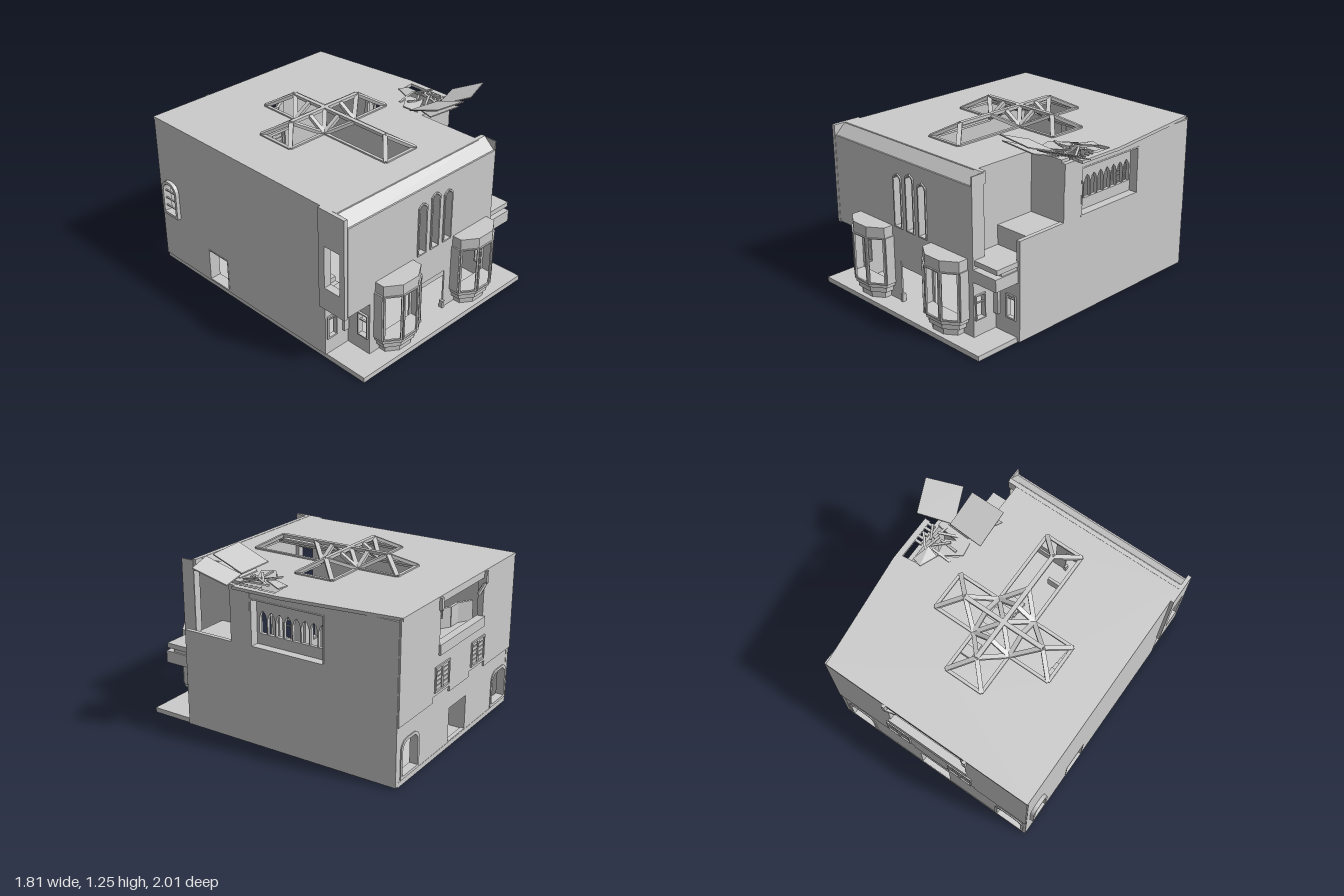
import * as THREE from 'three';
import { ConvexGeometry } from 'three/addons/geometries/ConvexGeometry.js';

const mat = new THREE.MeshStandardMaterial({ color: 0xcccccc, flatShading: true, side: THREE.DoubleSide });
const rect = (x0, x1, y0, y1) => [[x0, y0], [x1, y0], [x1, y1], [x0, y1]];
const pointed = (x0, x1, y0, y1, r, bulge) => // opening with a pointed head
  [[x0, y0], [x1, y0], [x1, y1 - r], [x1 - (x1 - x0) * 0.2, y1 - r * bulge], [(x0 + x1) / 2, y1], [x0 + (x1 - x0) * 0.2, y1 - r * bulge], [x0, y1 - r]];
function rounded(x0, x1, y0, y1, r) { // opening with rounded upper corners
  const p = [[x0, y0], [x1, y0]];
  for (let i = 0; i <= 5; i++) { const a = i * Math.PI / 10; p.push([x1 - r + r * Math.cos(a), y1 - r + r * Math.sin(a)]); }
  for (let i = 5; i <= 10; i++) { const a = i * Math.PI / 10; p.push([x0 + r + r * Math.cos(a), y1 - r + r * Math.sin(a)]); }
  return p;
}
const inset = (p, d) => { // shrink an outline towards its middle
  const xs = p.map(q => q[0]), ys = p.map(q => q[1]);
  const x0 = Math.min(...xs), x1 = Math.max(...xs), y0 = Math.min(...ys), y1 = Math.max(...ys);
  return p.map(([x, y]) => [x0 + d + (x - x0) * (x1 - x0 - 2 * d) / (x1 - x0), y0 + d + (y - y0) * (y1 - y0 - 2 * d) / (y1 - y0)]);
};

export function createModel() {
  const model = new THREE.Group();
  model.name = 'building';
  const add = (name, geo, parent = model) => {
    const m = new THREE.Mesh(geo, mat);
    m.name = name;
    parent.add(m);
    return m;
  };
  const box = (name, x0, x1, y0, y1, z0, z1) => {
    const m = add(name, new THREE.BoxGeometry(x1 - x0, y1 - y0, z1 - z0));
    m.position.set((x0 + x1) / 2, (y0 + y1) / 2, (z0 + z1) / 2);
  };
  const plate = (pts, holes, depth) => {
    const s = new THREE.Shape(pts.map(p => new THREE.Vector2(...p)));
    holes.forEach(h => s.holes.push(new THREE.Path(h.map(p => new THREE.Vector2(...p)))));
    return new THREE.ExtrudeGeometry(s, { depth, bevelEnabled: false });
  };
  // Plates drawn in x,y (front), in -z,y (side) and in x,z (flat)
  const front = (name, pts, holes, z, d) => { add(name, plate(pts, holes, d)).position.z = z; };
  const side = (name, pts, holes, x, d) => { const m = add(name, plate(pts, holes, d)); m.rotation.y = Math.PI / 2; m.position.x = x; };
  const flat = (name, pts, holes, top, d, parent) => { const m = add(name, plate(pts, holes, d), parent); m.rotation.x = Math.PI / 2; m.position.y = top; };
  const beam = (name, a, b, w, parent, h) => {
    const A = new THREE.Vector3(...a), B = new THREE.Vector3(...b);
    const m = add(name, new THREE.BoxGeometry(w, h, A.distanceTo(B)), parent);
    m.position.copy(A).lerp(B, 0.5);
    m.lookAt(B);
  };
  const slab = (name, quad, t) => add(name, new ConvexGeometry(quad.flatMap(([x, y, z]) =>
    [new THREE.Vector3(x, y, z), new THREE.Vector3(x, y - t, z)])));

  box('baseSlab', -0.87, 0.67, 0, 0.035, -0.97, 1);

  // Front wall with door, bay openings and lancet windows
  const lancets = [[-0.26, -0.18, 0.95], [-0.14, -0.06, 0.978], [-0.02, 0.06, 0.95]].map(([a, b, t]) => pointed(a, b, 0.57, t, 0.028, 0.45));
  const bays = [-0.465, 0.26];
  front('frontWall', [[-0.68, 0.035], [-0.22, 0.035], [-0.22, 0.33], [0.02, 0.33], [0.02, 0.035], [0.48, 0.035], [0.48, 1.05], [-0.87, 1.05], [-0.87, 0.42], [-0.68, 0.42]],
    [...lancets, ...bays.map(c => rect(c - 0.15, c + 0.15, 0.1, 0.5))], 0.848, 0.012);
  lancets.forEach(l => front('lancetFrame', l, [inset(l, 0.01)], 0.81, 0.06));
  box('doorLintel', -0.22, 0.02, 0.29, 0.33, 0.84, 0.855);
  box('innerLintel', -0.22, 0.02, 0.24, 0.33, 0.6, 0.62);
  for (const x of [-0.225, 0.005]) box('doorPlinth', x, x + 0.02, 0.035, 0.09, 0.84, 0.87);
  side('slopedCornice', [[-0.86, 1.04], [-0.77, 1.122], [-0.74, 1.122], [-0.74, 1.04]], [], -0.875, 1.35);

  // Bay windows
  for (const c of bays) {
    const bay = new THREE.Group();
    bay.name = 'bayWindow';
    model.add(bay);
    const plan = k => [[-0.17, 0.86], [-0.17, 0.93], [-0.068, 1], [0.068, 1], [0.17, 0.93], [0.17, 0.86]]
      .map(([x, z]) => [c + x * k, 0.86 + (z - 0.86) * k]);
    const tier = (name, k, y0, y1) => flat(name, plan(k), [], y1, y1 - y0, bay);
    tier('bayHood', 1, 0.49, 0.565);
    tier('baySill', 1, 0.125, 0.15);
    tier('bayCorbel', 0.9, 0.085, 0.125);
    tier('bayFoot', 0.75, 0.035, 0.085);
    const p = plan(0.985);
    for (let i = 0; i < 5; i++) { // solid cheeks, glazed-out front faces
      const [x0, z0] = p[i], [x1, z1] = p[i + 1], L = Math.hypot(x1 - x0, z1 - z0);
      const pane = i % 4 ? [rect(0.012, L - 0.012, 0.16, 0.482)] : [];
      const m = add('bayFrame', plate(rect(0, L, 0.15, 0.49), pane, 0.012), bay);
      m.position.set(x0, 0, z0);
      m.rotation.y = -Math.atan2(z1 - z0, x1 - x0);
    }
  }
  // Stairs behind the bays
  for (const x of [-0.52, 0.1]) for (let i = 0; i < 11; i++)
    box('stairStep', x, x + 0.14, 0.035 + i * 0.036, 0.071 + i * 0.036, 0.35 - i * 0.06, 0.43 - i * 0.06);

  // Recessed front corners with small windows
  const cornerWindow = (x0, x1) => {
    const o = rect(x0, x1, 0.15, 0.32);
    front('smallWindowFrame', o, [inset(o, 0.012)], 0.65, 0.03);
    box('smallWindowBar', x0, x1, 0.285, 0.293, 0.655, 0.67);
  };
  front('leftCornerWall', rect(-0.87, -0.68, 0.035, 0.42), [rect(-0.865, -0.78, 0.15, 0.32)], 0.64, 0.03);
  front('rightCornerWall', rect(0.48, 0.67, 0.035, 0.45), [rect(0.58, 0.665, 0.15, 0.32)], 0.64, 0.03);
  cornerWindow(-0.865, -0.78);
  cornerWindow(0.58, 0.665);
  const sideOpen = rect(-0.85, -0.765, 0.15, 0.325);
  for (const x of [-0.68, 0.468]) {
    side('cornerReturnWall', rect(-0.855, -0.64, 0.035, 0.45), [inset(sideOpen, 0.002)], x, 0.012);
    side('returnWindowFrame', sideOpen, [inset(sideOpen, 0.008)], x - 0.015, 0.04);
    box('returnWindowBar', x, x + 0.012, 0.26, 0.268, 0.765, 0.85);
  }
  for (const x of [-0.73, 0.48]) box('cornerPilaster', x, x + 0.04, 0.15, 0.32, 0.67, 0.69);
  box('leftSoffit', -0.87, -0.68, 0.42, 0.5, 0.64, 0.848);

  // Stepped terraces on the right front corner
  box('lowTerrace', 0.48, 0.68, 0.42, 0.505, 0.66, 0.86);
  box('terraceCore', 0.48, 0.67, 0.5, 0.54, 0.56, 0.8);
  box('terraceLedge', 0.4, 0.68, 0.53, 0.565, 0.58, 0.848);
  box('highTerrace', 0.4, 0.67, 0.67, 0.7, 0.28, 0.58);
  front('terraceRiser', rect(0.4, 0.67, 0.53, 0.7), [], 0.55, 0.03);
  front('towerFrontWall', rect(0.4, 0.695, 0.7, 1.1), [], 0.25, 0.03);
  side('terraceSideWall', rect(-0.77, -0.25, 0.45, 1.1), [], 0.39, 0.02);
  side('frontReturn', rect(-0.86, -0.76, 0.42, 1.115), [], 0.472, 0.008);

  // Right wall with a recessed arcade
  const arcadeEdge = rect(-0.12, 0.445, 0.7, 1.035);
  side('rightWall', [[-0.67, 0.01], [0.97, 0.01], [0.97, 1.1], [-0.28, 1.1], [-0.28, 0.705], [-0.67, 0.705]], [inset(arcadeEdge, 0.006)], 0.665, 0.03);
  const arches = [];
  for (let i = 0; i < 8; i++) { const u = -0.09 + i * 0.065; arches.push(pointed(u, u + 0.057, 0.785, 0.94, 0.05, 0.35)); }
  side('arcade', rect(-0.12, 0.45, 0.7, 1.05), arches, 0.61, 0.025);
  side('arcadeSurround', arcadeEdge, [inset(arcadeEdge, 0.01)], 0.62, 0.077);
  side('upperWallBand', rect(-0.28, -0.12, 0.95, 1.1), [], 0.69, 0.01);

  // Left wall with arched window, doorway and overhanging corner
  const leftArch = rounded(0.77, 0.93, 0.4, 0.67, 0.07), leftDoor = rect(0.27, 0.48, 0.04, 0.29), leftWin = rect(-0.82, -0.69, 0.57, 0.87);
  side('leftWall', [[-0.67, 0.035], [0.97, 0.035], [0.97, 1.11], [-0.78, 1.11], [-0.855, 1.04], [-0.855, 0.42], [-0.67, 0.42]], [leftArch, leftDoor, leftWin], -0.878, 0.033);
  side('leftCornerOverlay', rect(-0.86, -0.64, 0.41, 1.12), [leftWin], -0.9, 0.027);
  side('leftArchFrame', leftArch, [inset(leftArch, 0.02)], -0.905, 0.06);
  side('leftDoorFrame', leftDoor, [inset(leftDoor, 0.01)], -0.88, 0.08);
  for (let i = 0; i < 3; i++) box('leftArchBar', -0.89, -0.88, 0.46 + i * 0.06, 0.468 + i * 0.06, -0.92, -0.78);

  // Back wall with balcony, shuttered windows and arched doors
  const balcony = rect(-0.4, 0.2, 0.8, 1.07);
  const shutters = [rect(0.06, 0.25, 0.485, 0.66), rect(-0.44, -0.25, 0.485, 0.66)];
  const backArches = [rounded(0.41, 0.64, 0.04, 0.31, 0.07), rounded(-0.855, -0.62, 0.04, 0.31, 0.07)];
  front('backWall', rect(-0.87, 0.69, 0.035, 1.1), [balcony, ...shutters, ...backArches, rect(-0.23, 0.01, 0.04, 0.285)], -0.968, 0.03);
  front('backUpperWall', [[-0.875, 0.42], [-0.46, 0.42], [-0.46, 0.46], [-0.23, 0.46], [-0.23, 0.42], [0.04, 0.42], [0.04, 0.46], [0.27, 0.46], [0.27, 0.42], [0.69, 0.42], [0.69, 1.11], [-0.875, 1.11]],
    [balcony, ...shutters], -0.98, 0.013);
  backArches.forEach(a => front('backArchFrame', a, [inset(a, 0.02)], -0.975, 0.06));
  for (const x of [-0.24, 0.01]) box('backDoorJamb', x, x + 0.01, 0.035, 0.285, -0.94, -0.82);
  for (const s of shutters) {
    front('shutterFrame', s, [inset(s, 0.012)], -0.99, 0.04);
    const x = s[0][0];
    box('shutterPost', x + 0.085, x + 0.105, 0.485, 0.66, -0.988, -0.96);
    for (let i = 0; i < 5; i++) box('shutterSlat', x, x + 0.19, 0.5 + i * 0.031, 0.524 + i * 0.031, -0.982, -0.965);
  }
  box('balconyLip', -0.41, 0.21, 0.73, 0.8, -0.995, -0.95);
  box('balconyFloor', -0.4, 0.2, 0.74, 0.76, -0.95, -0.75);
  const rail = [[-0.4, -0.9], [-0.3, -0.84], [-0.2, -0.84], [-0.1, -0.78], [0, -0.84], [0.1, -0.84], [0.2, -0.9]];
  for (let i = 0; i < 6; i++) beam('balconyRail', [rail[i][0], 0.83, rail[i][1]], [rail[i + 1][0], 0.83, rail[i + 1][1]], 0.02, model, 0.14);
  for (const x of [-0.42, 0.2]) {
    box('balconyBracket', x, x + 0.025, 1.03, 1.115, -1, -0.95);
    beam('balconyStrut', [x + 0.012, 1.04, -0.99], [x + (x < 0 ? 0.06 : -0.04), 0.96, -0.96], 0.018, model, 0.018);
  }

  // Roof with cross-shaped opening and broken edge
  const X0 = -0.54, X1 = 0.34, x0 = -0.24, x1 = 0.035, Z0 = -0.57, Z1 = 0.56, z0 = -0.27, z1 = 0.01, cx = -0.1, cz = -0.13;
  const cross = [[x0, Z0], [x1, Z0], [x1, z0], [X1, z0], [X1, z1], [x1, z1], [x1, Z1], [x0, Z1], [x0, z1], [X0, z1], [X0, z0], [x0, z0]];
  flat('roof', [[-0.878, -0.982], [0.675, -0.982], [0.77, -0.15], [0.77, -0.11], [0.6, -0.09], [0.54, 0.03], [0.42, 0.1], [0.45, 0.18], [0.67, 0.21], [0.67, 0.28], [0.41, 0.28], [0.41, 0.775], [-0.878, 0.775]], [cross], 1.12, 0.022);
  box('brokenEave', 0.73, 0.77, 1.1, 1.12, -0.12, 0.2);
  for (let i = 0; i < 5; i++) box('eaveStub', 0.68, 0.74, 1.1, 1.118, 0.03 + i * 0.036, 0.048 + i * 0.036);

  // Hipped truss skylight over the cross
  const truss = new THREE.Group();
  truss.name = 'skylightTruss';
  model.add(truss);
  const lo = 1.122, hi = 1.208, bar = (a, b, ya, yb) => beam('trussBar', [a[0], ya, a[1]], [b[0], yb, b[1]], 0.03, truss, 0.022);
  cross.forEach((p, i) => beam('trussKerb', [p[0], lo, p[1]], [cross[(i + 1) % 12][0], lo, cross[(i + 1) % 12][1]], 0.022, truss, 0.016));
  bar([-0.4, cz], [0.2, cz], hi, hi);
  bar([cx, -0.42], [cx, 0.42], hi, hi);
  for (const x of [x0, x1]) for (const z of [z0, z1]) {
    bar([cx, cz], [x, z], hi, lo);
    bar([x < cx ? -0.4 : 0.2, cz], [x, z], hi, lo);
    bar([x < cx ? -0.4 : 0.2, cz], [x < cx ? X0 : X1, z], hi, lo);
    bar([cx, z < cz ? -0.42 : 0.15], [x, z], hi, lo);
    bar([cx, z < cz ? -0.42 : 0.42], [x, z < cz ? Z0 : Z1], hi, lo);
    bar([x, cz], [x, z], hi, lo);
    bar([cx, z], [x, z], hi, lo);
  }

  // Torn roof panels, shards and planks
  slab('tornPanel', [[0.33, 1.255, 0.48], [0.59, 1.235, 0.49], [0.6, 1.15, 0.25], [0.34, 1.165, 0.23]], 0.008);
  slab('lowerTornPanel', [[0.31, 1.2, 0.44], [0.59, 1.185, 0.45], [0.62, 1.125, 0.25], [0.45, 1.13, 0.24]], 0.008);
  slab('tornPanel', [[0.66, 1.24, 0.49], [0.905, 1.24, 0.4], [0.83, 1.145, 0.19], [0.58, 1.135, 0.27]], 0.008);
  slab('roofShard', [[0.4, 1.135, 0.12], [0.54, 1.14, 0.02], [0.57, 1.13, 0.15], [0.42, 1.125, 0.23]], 0.008);
  slab('roofShard', [[0.59, 1.13, -0.1], [0.66, 1.125, -0.08], [0.62, 1.15, 0.04], [0.54, 1.13, 0.02]], 0.008);
  for (let i = 0; i < 8; i++) {
    const a = i * 2.4, x = 0.52 + (i % 4) * 0.05, z = 0.04 + (i * 0.37 % 1) * 0.17;
    beam('brokenPlank', [x - 0.07 * Math.cos(a), 1.12, z - 0.06 * Math.sin(a)], [x + 0.07 * Math.cos(a), 1.15, z + 0.06 * Math.sin(a)], 0.016, model, 0.01);
  }
  return model;
}
